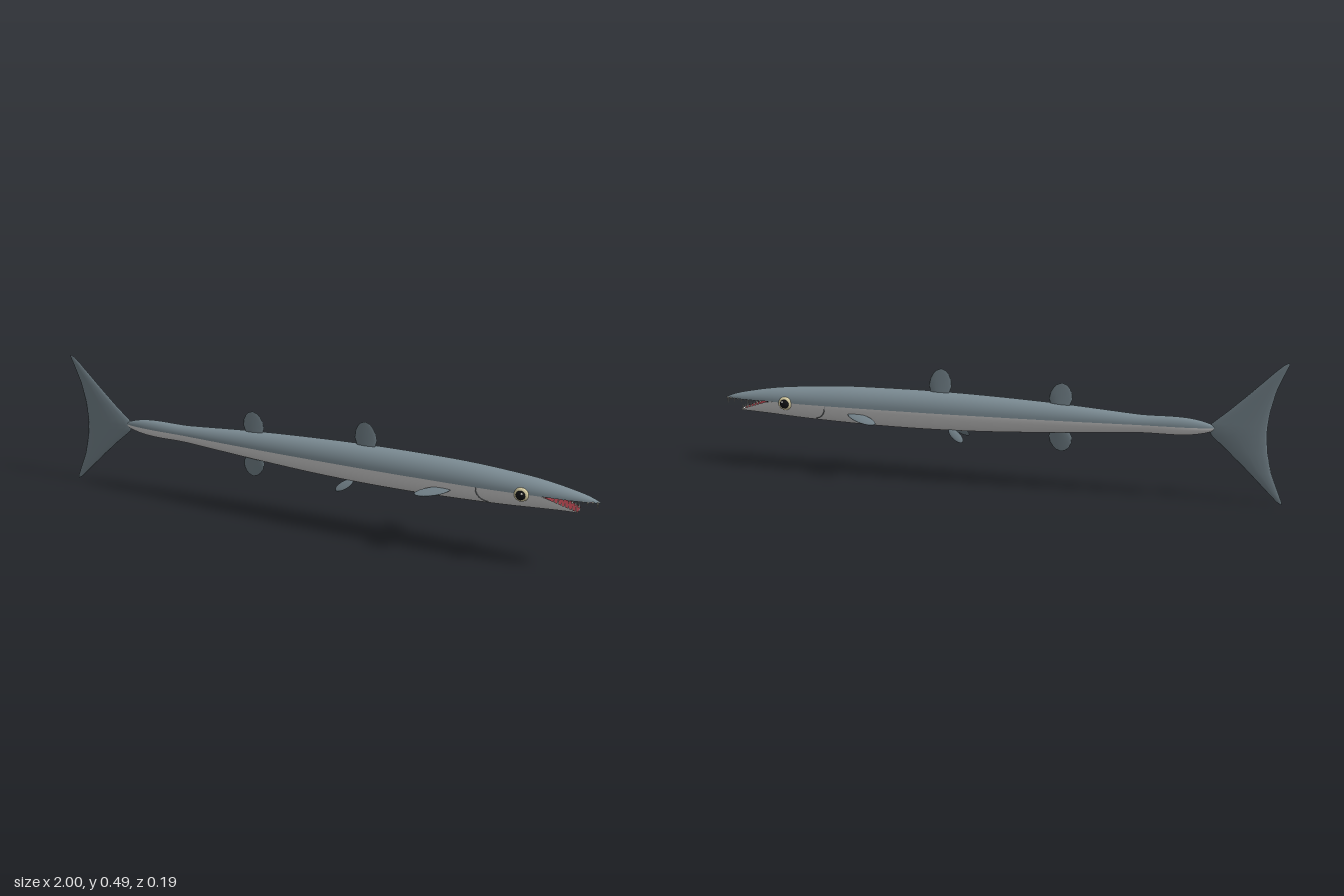
import * as THREE from 'three';

const mat = (name, color, side = THREE.FrontSide) =>
  Object.assign(new THREE.MeshStandardMaterial({ color, side }), { name });

// Body stations: x, top, bottom, half width
const ROWS = [
  [-0.775, 0.255, 0.254, 0.001], [-0.75, 0.27, 0.24, 0.01], [-0.5, 0.287, 0.222, 0.027],
  [-0.24, 0.305, 0.204, 0.042], [0, 0.316, 0.19, 0.051], [0.2, 0.321, 0.184, 0.056],
  [0.4, 0.321, 0.184, 0.057], [0.55, 0.318, 0.188, 0.056], [0.7, 0.308, 0.194, 0.051],
  [0.8, 0.298, 0.2, 0.043], [0.9, 0.281, 0.206, 0.029], [0.97, 0.264, 0.21, 0.014],
  [1, 0.251, 0.212, 0.002],
];
const spline = new THREE.CubicInterpolant(
  ROWS.map(r => r[0]), ROWS.flatMap(r => r.slice(1)), 3, new Float32Array(3));
const MOUTH = 0.82, JAW_END = 0.93;

// Section of the upper (up = 1) or lower (up = -1) half at x
function section(x, up) {
  const [top, bottom, w] = spline.evaluate(x);
  let mid = 0.256 - 0.03 * Math.max(0, x - 0.8);
  if (up < 0) mid -= 0.33 * Math.max(0, x - MOUTH);
  return { x, mid, w, h: Math.max(0.001, up > 0 ? top - mid : mid - bottom) };
}

// Skin rings of points together; flip reverses the faces
function skin(rings, flip, closed = false) {
  const n = rings[0].length, index = [];
  for (let i = 0; i < rings.length - 1; i++) {
    for (let j = 0; j < (closed ? n : n - 1); j++) {
      const k = (j + 1) % n;
      const a = i * n + j, b = a + n, c = i * n + k, d = c + n;
      index.push(...(flip ? [a, c, b, b, c, d] : [a, b, c, b, d, c]));
    }
  }
  const g = new THREE.BufferGeometry();
  g.setAttribute('position', new THREE.Float32BufferAttribute(rings.flat(2), 3));
  g.setIndex(index);
  g.computeVertexNormals();
  return g;
}

// Half-ellipse shell along x; a cavity is a shallower shell facing inward
function halfShell(x0, x1, up, cavity = false) {
  const rings = [], steps = Math.ceil((x1 - x0) / 0.02), seg = 18;
  const ring = (s, k) => Array.from({ length: seg + 1 }, (_, j) => {
    const a = Math.PI * j / seg;
    return [s.x, s.mid + up * s.h * k * Math.sin(a), s.w * Math.cos(a)];
  });
  for (let i = 0; i <= steps; i++) {
    const x = x0 + (x1 - x0) * i / steps;
    rings.push(ring(section(x, up), cavity ? 0.5 * Math.min(1, (x - x0) / 0.05) : 1));
  }
  if (!cavity) {
    const s = section(x1, up);
    rings.push(ring({ ...s, x: x1 + (up < 0 ? 0.005 : 0), w: s.w * 0.02, h: s.h * 0.02 }, 1));
  }
  return skin(rings, (up < 0) !== cavity);
}

// Upright fin from rows of y, rear x, front x, half thickness
function uprightFin(rows) {
  const rings = rows.map(([y, x0, x1, t]) => Array.from({ length: 16 }, (_, j) => {
    const a = 2 * Math.PI * j / 16;
    return [(x0 + x1) / 2 + (x1 - x0) / 2 * Math.cos(a), y, t * Math.sin(a)];
  }));
  return skin(rings, rows[0][0] > rows[1][0], true);
}

// Thin leaf-like fin, lying in the plane of x and its long direction
function leafFin(center, dir, length, width, thick) {
  const u = new THREE.Vector3(...dir).normalize();
  const n = new THREE.Vector3().crossVectors(u, new THREE.Vector3(1, 0, 0)).normalize();
  const v = new THREE.Vector3().crossVectors(n, u);
  const g = new THREE.SphereGeometry(1, 20, 12).scale(length, width, thick);
  g.applyMatrix4(new THREE.Matrix4().makeBasis(u, v, n));
  return g.translate(...center);
}

const ball = (x, y, z, rx, ry, rz) =>
  new THREE.SphereGeometry(1, 24, 16).scale(rx, ry, rz).translate(x, y, z);

export function createModel() {
  const model = new THREE.Group();
  model.name = 'fish';
  const back = mat('back grey', 0x7c8c94, THREE.DoubleSide);
  const belly = mat('belly white', 0xd2d2d2, THREE.DoubleSide);
  const fin = mat('fin grey', 0x73828a, THREE.DoubleSide);
  const mouth = mat('mouth red', 0x8c343c, THREE.DoubleSide);
  const tooth = mat('tooth white', 0xf2eee4);
  const iris = mat('eye cream', 0xe2d8ac);
  const pupil = mat('pupil black', 0x111214);
  const gill = mat('gill line grey', 0x7d8487);
  const add = (name, geometry, material) => {
    const m = new THREE.Mesh(geometry, material);
    m.name = name;
    model.add(m);
    return m;
  };

  // Body with open jaws
  add('back', halfShell(-0.775, 1, 1), back);
  add('belly', halfShell(-0.775, JAW_END, -1), belly);
  add('palate', halfShell(MOUTH, 0.995, 1, true), mouth);
  add('mouthFloor', halfShell(MOUTH, JAW_END, -1, true), mouth);

  // Tail fin
  add('tailFin', uprightFin([
    [0.004, -1, -0.996, 0.0005], [0.012, -1, -0.983, 0.002], [0.04, -0.989, -0.955, 0.004],
    [0.11, -0.961, -0.885, 0.006], [0.18, -0.945, -0.812, 0.0075], [0.228, -0.94, -0.757, 0.0085],
    [0.25, -0.939, -0.745, 0.009], [0.272, -0.94, -0.757, 0.0085], [0.32, -0.945, -0.812, 0.0075],
    [0.39, -0.961, -0.885, 0.006], [0.46, -0.989, -0.955, 0.004], [0.485, -1, -0.983, 0.002],
    [0.492, -1, -0.996, 0.0005],
  ]), fin);

  // Dorsal and anal fins: the same rounded outline, placed by base, height and direction
  const outline = [[0, 0.032], [0.35, 0.041], [0.6, 0.038], [0.8, 0.029], [0.93, 0.018], [1, 0.002]];
  for (const [name, x, y, height] of [
    ['frontDorsalFin', 0.188, 0.31, 0.094],
    ['rearDorsalFin', -0.24, 0.294, 0.085],
    ['analFin', -0.24, 0.216, -0.08],
  ]) {
    add(name, uprightFin(outline.map(([t, r]) =>
      [y + height * t, x - r - 0.006 * t, x + r - 0.006 * t, 0.007 * (1 - t) + 0.001])), fin);
  }

  for (const s of [1, -1]) {
    // Paired fins
    add('pectoralFin', leafFin([0.455, 0.223, s * 0.07], [-0.1, -0.018, s * 0.038], 0.062, 0.02, 0.004), fin);
    add('pelvicFin', leafFin([0.122, 0.175, s * 0.034], [-0.045, -0.03, s * 0.02], 0.036, 0.015, 0.004), fin);

    // Eyes
    add('eye', ball(0.75, 0.254, s * 0.046, 0.025, 0.024, 0.01), iris);
    add('pupil', ball(0.75, 0.254, s * 0.055, 0.016, 0.016, 0.009), pupil);
    add('eyeHighlight', ball(0.755, 0.262, s * 0.061, 0.004, 0.004, 0.003), tooth);

    // Gill line laid on the skin
    const points = [[0.598, 0.256], [0.6, 0.24], [0.609, 0.222], [0.622, 0.21], [0.637, 0.204]].map(([x, y]) => {
      const { mid, h, w } = section(x, -1);
      return new THREE.Vector3(x, y, s * w * Math.sqrt(1 - ((mid - y) / h) ** 2));
    });
    add('gillLine', new THREE.TubeGeometry(new THREE.CatmullRomCurve3(points), 20, 0.0018, 6), gill);

    // Teeth along both jaws, with longer fangs at the tips
    for (const [up, from, to, count] of [[1, 0.855, 0.99, 10], [-1, 0.855, 0.925, 7]]) {
      for (let i = 0; i < count; i++) {
        const x = from + (to - from) * i / (count - 1);
        const { mid, w } = section(x, up);
        const length = i === count - 1 ? 0.024 : 0.012 + 0.005 * (i % 2);
        const g = new THREE.ConeGeometry(0.0032, length, 8);
        if (up > 0) g.rotateX(Math.PI);
        g.translate(x, mid - up * (length / 2 - 0.003), s * w * 0.86);
        add(up > 0 ? 'upperTooth' : 'lowerTooth', g, tooth);
      }
    }
  }
  return model;
}
